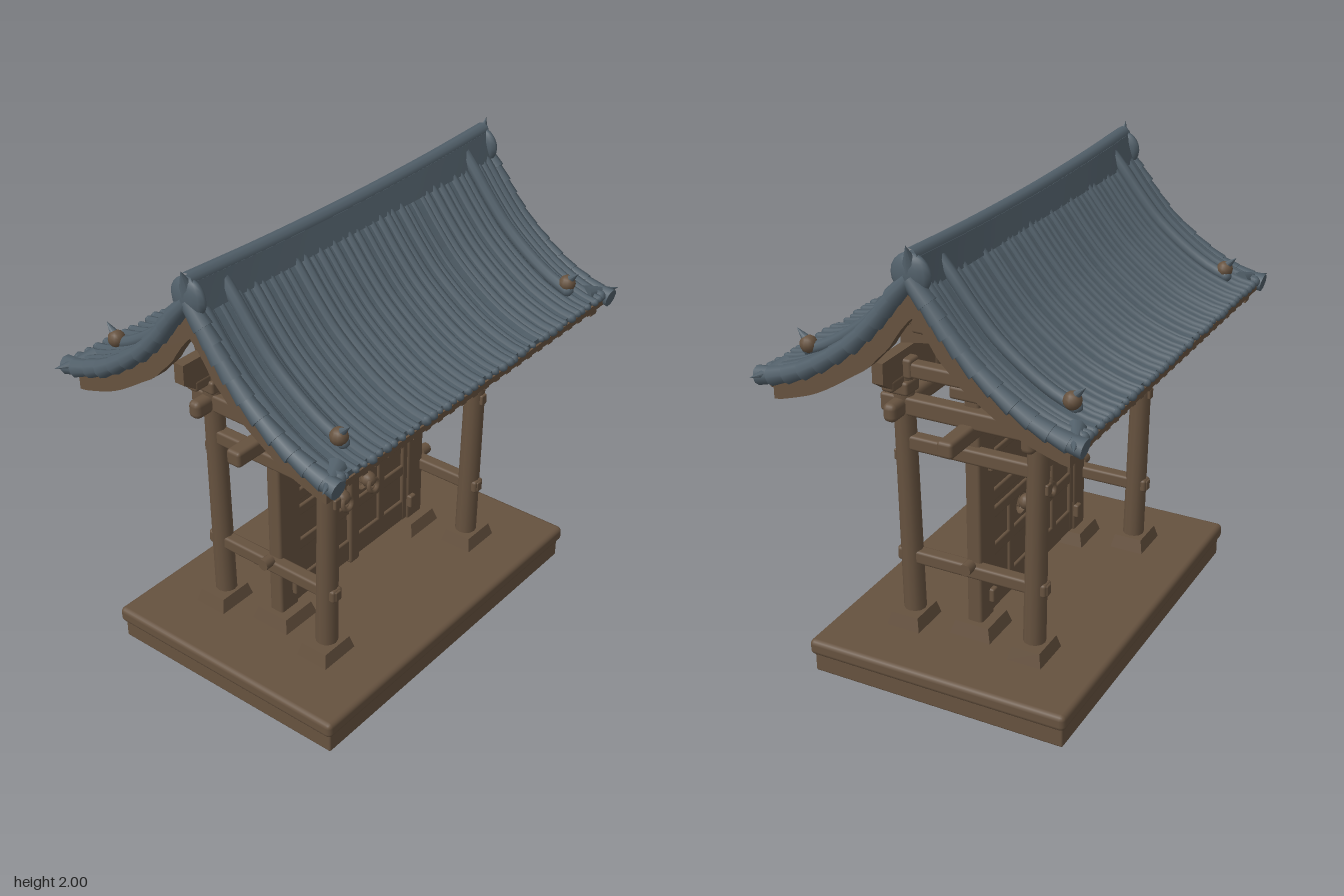
import * as THREE from 'three';
import { RoundedBoxGeometry } from 'three/addons/geometries/RoundedBoxGeometry.js';

export function createModel() {
  const model = new THREE.Group();
  model.name = 'roofedGate';
  const wood = new THREE.MeshStandardMaterial({ color: 0x66523f });
  wood.name = 'brown wood';
  const tile = new THREE.MeshStandardMaterial({ color: 0x515f69 });
  tile.name = 'blue grey tile';

  let seed = 7;
  const rand = () => (seed = (seed * 16807) % 2147483647) / 2147483647;

  function add(name, geo, mat, x = 0, y = 0, z = 0) {
    const m = new THREE.Mesh(geo, mat);
    m.name = name;
    m.position.set(x, y, z);
    model.add(m);
    return m;
  }
  // softly worn timber given by its extents
  function beam(name, x0, x1, y0, y1, z0, z1, r = 0.012) {
    const w = x1 - x0, h = y1 - y0, d = z1 - z0;
    const geo = new RoundedBoxGeometry(w, h, d, 2, Math.min(r, Math.min(w, h, d) * 0.4));
    return add(name, geo, wood, (x0 + x1) / 2, (y0 + y1) / 2, (z0 + z1) / 2);
  }
  // tapered footing block
  function footing(x, z, w, d, h) {
    const geo = new THREE.CylinderGeometry(0.58, 0.7071, 1, 4, 1);
    geo.rotateY(Math.PI / 4).scale(w, h, d);
    add('footing', geo.toNonIndexed(), wood, x, 0.155 + h / 2, z).geometry.computeVertexNormals();
  }

  // Platform: a deck over a hollow skirt
  beam('platformTop', -0.855, 0.855, 0.085, 0.156, -0.59, 0.59, 0.022);
  for (const s of [-1, 1]) {
    beam('platformSkirtLong', -0.835, 0.835, 0, 0.1, s * 0.555 - 0.02, s * 0.555 + 0.02, 0.008);
    beam('platformSkirtEnd', s * 0.815 - 0.02, s * 0.815 + 0.02, 0, 0.1, -0.57, 0.57, 0.008);
  }

  // Posts, footings and side framing
  for (const s of [-1, 1]) {
    for (const f of [-1, 1]) {
      const post = add('outerPost', new THREE.CylinderGeometry(0.044, 0.048, 1.12, 12), wood, s * 0.5, 0.75, f * 0.293);
      post.rotation.x = f * 0.018;
      footing(s * 0.51, f * 0.285, 0.19, 0.155, 0.06);
      // stacked bracket on each post
      beam('bracketBlock', s * 0.5 - 0.05, s * 0.5 + 0.05, 1.21, 1.27, f * 0.305 - 0.05, f * 0.305 + 0.05);
      beam('bracketArm', s * 0.5 - 0.12, s * 0.5 + 0.12, 1.25, 1.3, f * 0.305 - 0.028, f * 0.305 + 0.028);
      beam('bracketCap', s * 0.5 - 0.035, s * 0.5 + 0.035, 1.28, 1.365, f * 0.305 - 0.06, f * 0.305 + 0.06);
      beam('postCleat', s * 0.5 - 0.018, s * 0.5 + 0.018, 1.13, 1.22, f * 0.335 - 0.03, f * 0.335 + 0.03, 0.008);
      for (const y of [0.47, 0.925]) beam('postPeg', s * 0.5 - 0.018, s * 0.5 + 0.018, y - 0.024, y + 0.024, f * 0.33 - 0.02, f * 0.33 + 0.02, 0.006);
    }
    const xc = s * 0.44;
    beam('innerPost', xc - 0.055, xc + 0.055, 0.2, 1.62, -0.034, 0.034);
    footing(xc, 0, 0.2, 0.19, 0.06);
    const rail = (name, y0, y1, z, w = 0.03) => beam(name, s * 0.5 - w, s * 0.5 + w, y0, y1, -z, z);
    rail('lowerSideRail', 0.44, 0.5, 0.345);
    rail('middleSideRail', 0.965, 1.03, 0.33);
    rail('upperSideRail', 1.12, 1.2, 0.395, 0.035);
    rail('sideBracketArm', 1.235, 1.29, 0.08);
    rail('sideTopBeam', 1.285, 1.35, 0.29);
    const peg = add('railPeg', new THREE.CylinderGeometry(0.026, 0.026, 0.05, 10), wood, s * 0.545, 0.5, 0);
    peg.rotation.z = Math.PI / 2;

    // Curved braces rising to the ridge
    for (const f of [-1, 1]) {
      const brace = new THREE.Shape();
      brace.moveTo(f * 0.33, 1.4).lineTo(f * 0.2, 1.42).quadraticCurveTo(f * 0.09, 1.43, f * 0.045, 1.5);
      brace.lineTo(f * 0.03, 1.68).quadraticCurveTo(f * 0.16, 1.57, f * 0.33, 1.46);
      const geo = new THREE.ExtrudeGeometry(brace, { depth: 0.05, bevelEnabled: false });
      geo.translate(0, 0, -0.025).rotateY(-Math.PI / 2);
      add('gableBrace', geo, wood, xc, 0, 0);
    }
  }

  // Long beams
  beam('crossLintel', -0.72, 0.71, 1.07, 1.14, -0.035, 0.035, 0.015);
  beam('ridgeBeam', -0.86, 0.86, 1.64, 1.73, -0.035, 0.035);
  for (const f of [-1, 1]) {
    beam('eaveBeam', -0.62, 0.62, 1.115, 1.195, f * 0.305 - 0.03, f * 0.305 + 0.03, 0.028);
    // purlin with cut-back ends
    const purlin = new THREE.Shape();
    purlin.moveTo(-0.6, 1.255).lineTo(0.6, 1.255).lineTo(0.68, 1.31).lineTo(0.68, 1.4).lineTo(-0.68, 1.4).lineTo(-0.68, 1.31);
    add('purlin', new THREE.ExtrudeGeometry(purlin, { depth: 0.05, bevelEnabled: false }), wood, 0, 0, f * 0.305 - 0.025);
    for (const x of [-0.19, 0.19]) {
      beam('midBracketBlock', x - 0.045, x + 0.045, 1.19, 1.25, f * 0.305 - 0.04, f * 0.305 + 0.04);
      beam('midBracketArm', x - 0.1, x + 0.1, 1.23, 1.3, f * 0.305 - 0.034, f * 0.305 + 0.034, 0.02);
    }
  }

  // Double doors with rails, grid and ring pulls on both faces
  beam('doorCentreStile', -0.032, 0.032, 0.2, 1.06, -0.036, 0.036);
  for (const s of [-1, 1]) {
    const span = (name, a, b, y0, y1, d) => beam(name, Math.min(s * a, s * b), Math.max(s * a, s * b), y0, y1, -d, d, 0.008);
    // leaf pierced around the pull
    const leaf = new THREE.Shape();
    leaf.moveTo(s * 0.02, 0.215).lineTo(s * 0.39, 0.215).lineTo(s * 0.39, 1.06).lineTo(s * 0.02, 1.06);
    leaf.holes.push(new THREE.Path().absarc(s * 0.09, 0.585, 0.05, 0, Math.PI * 2));
    add('doorPanel', new THREE.ExtrudeGeometry(leaf, { depth: 0.024, bevelEnabled: false }), wood, 0, 0, -0.012);
    span('doorOuterStile', 0.355, 0.4, 0.215, 1.06, 0.026);
    span('doorSill', 0.02, 0.39, 0.215, 0.325, 0.024);
    for (const [y0, y1] of [[0.465, 0.52], [0.64, 0.69], [0.72, 0.775], [0.92, 0.955], [1.0, 1.06]])
      span('doorRail', 0.02, 0.38, y0, y1, 0.024);
    span('doorMullion', 0.18, 0.225, 0.3, 0.66, 0.024);
    beam('pullBar', s * 0.09 - 0.018, s * 0.09 + 0.018, 0.57, 0.65, -0.012, 0.012, 0.006);
    for (const f of [-1, 1]) {
      for (const y of [0.31, 0.925]) beam('hinge', s * 0.405 - 0.02, s * 0.405 + 0.02, y - 0.032, y + 0.032, f * 0.04 - 0.014, f * 0.04 + 0.014, 0.008);
      add('doorBoss', new THREE.SphereGeometry(0.036, 12, 8), wood, s * 0.09, 0.595, f * 0.035);
      add('doorRing', new THREE.TorusGeometry(0.03, 0.011, 6, 16), wood, s * 0.09, 0.575, f * 0.062).rotation.x = -f * 0.2;
    }
  }

  // Roof slope: z, y points from the ridge to the eave
  const slope = new THREE.SplineCurve([[0, 1.91], [0.07, 1.83], [0.14, 1.742], [0.24, 1.63], [0.36, 1.532],
    [0.48, 1.457], [0.6, 1.41], [0.675, 1.395]].map(p => new THREE.Vector2(...p)));
  // point on the slope, sunk by d
  function sunk(t, d) {
    const p = slope.getPoint(t), g = slope.getTangent(t);
    return new THREE.Vector2(p.x, p.y - d / g.x);
  }
  // gable-shaped slice of the roof between two depths
  function slice(name, mat, x, width, d0, d1, tEnd) {
    const N = 18, top = [], low = [];
    for (let i = -N; i <= N; i++) {
      const t = Math.abs(i) / N * tEnd, a = sunk(t, d0), b = sunk(t, d1);
      top.push(new THREE.Vector2(Math.sign(i) * a.x, a.y));
      low.unshift(new THREE.Vector2(Math.sign(i) * b.x, b.y));
    }
    const geo = new THREE.ExtrudeGeometry(new THREE.Shape([...top, ...low]), { depth: width, bevelEnabled: false });
    geo.translate(0, 0, -width / 2).rotateY(-Math.PI / 2);
    add(name, geo, mat, x);
  }
  // round roll following the slope
  function roll(name, x, r, d, t0, t1, f, sides = 7) {
    const pts = [];
    for (let i = 0; i <= 10; i++) {
      const p = sunk(t0 + (t1 - t0) * i / 10, d);
      pts.push(new THREE.Vector3(x, p.y, f * p.x));
    }
    add(name, new THREE.TubeGeometry(new THREE.CatmullRomCurve3(pts), 16, r, sides), tile);
    for (const p of [pts[0], pts[10]]) add(name + 'End', new THREE.SphereGeometry(r, sides, 5), tile, p.x, p.y, p.z);
  }

  slice('tileBed', tile, 0, 1.86, 0.008, 0.04, 0.965);
  slice('roofBoards', wood, 0, 1.8, 0.03, 0.055, 0.985);
  for (const s of [-1, 1]) slice('bargeBoard', wood, s * 0.885, 0.045, 0.04, 0.125, 0.9);
  for (let i = 0; i < 22; i++) slice('rafter', wood, -0.8 + i * 1.6 / 21, 0.032, 0.052, 0.08, 0.95);

  for (const f of [-1, 1]) {
    for (let i = 0; i < 38; i++) {
      const x = -0.85 + i * 1.7 / 37 + (rand() - 0.5) * 0.02;
      roll('tileRib', x, 0.012 + rand() * 0.009, 0.012, 0.05, 0.98 + rand() * 0.016, f);
    }
    beam('eaveBoard', -0.9, 0.9, 1.315, 1.36, f * 0.635 - 0.018, f * 0.635 + 0.018, 0.008);
    for (const s of [-1, 1]) {
      // descending ridge with its end knob
      roll('descendingRidge', s * 0.745, 0.026, -0.012, 0.04, 0.82, f, 9);
      add('ridgeKnob', new THREE.SphereGeometry(0.036, 12, 8), wood, s * 0.755, 1.458, f * 0.562);
      const tip = add('knobTip', new THREE.ConeGeometry(0.026, 0.08, 8), tile, s * 0.755, 1.49, f * 0.585);
      tip.rotation.x = f * 0.8;
      // overlapping verge tiles
      for (let k = 0; k < 11; k++) {
        const t = 0.08 + k * 0.083, p = sunk(t, 0.026), g = slope.getTangent(t);
        const geo = new THREE.CylinderGeometry(0.03, 0.04, 0.11, 9);
        const m = add('vergeTile', geo, tile, s * (0.908 + rand() * 0.006), p.y, f * p.x);
        m.quaternion.setFromUnitVectors(new THREE.Vector3(0, -1, 0), new THREE.Vector3(0, g.y, f * g.x).normalize());
      }
      roll('innerVerge', s * 0.87, 0.024, 0.014, 0.05, 0.96, f);
      // flared corner tip
      const corner = add('cornerTip', new THREE.ConeGeometry(0.042, 0.17, 9), tile, s * 0.91, 1.385, f * 0.645);
      corner.rotation.set(0, -s * f * 0.4, -s * 1.6);
    }
  }

  // Main ridge, sagging in the middle and narrower on top
  const ridge = new THREE.BoxGeometry(1.82, 0.11, 0.13, 24, 3, 2);
  const pos = ridge.attributes.position;
  for (let i = 0; i < pos.count; i++) {
    const h = pos.getY(i) / 0.11 + 0.5, e = Math.abs(pos.getX(i)) / 0.92;
    pos.setY(i, 1.835 + h * (0.095 + 0.025 * e * e));
    pos.setZ(i, pos.getZ(i) * (1 - 0.5 * h));
  }
  ridge.computeVertexNormals();
  add('mainRidge', ridge, tile);
  const cap = [-0.91, -0.5, 0, 0.5, 0.91].map(x => new THREE.Vector3(x, 1.926 + 0.03 * x * x, 0));
  add('ridgeCap', new THREE.TubeGeometry(new THREE.CatmullRomCurve3(cap), 24, 0.033, 9), tile);
  for (const s of [-1, 1]) {
    const end = add('ridgeEnd', new THREE.SphereGeometry(0.082, 14, 10), tile, s * 0.9, 1.885, 0);
    end.scale.set(0.4, 1, 1);
    const tip = add('ridgeTip', new THREE.ConeGeometry(0.038, 0.1, 8), tile, s * 0.915, 1.953, 0);
    tip.rotation.z = -s * 0.35;
  }
  return model;
}
